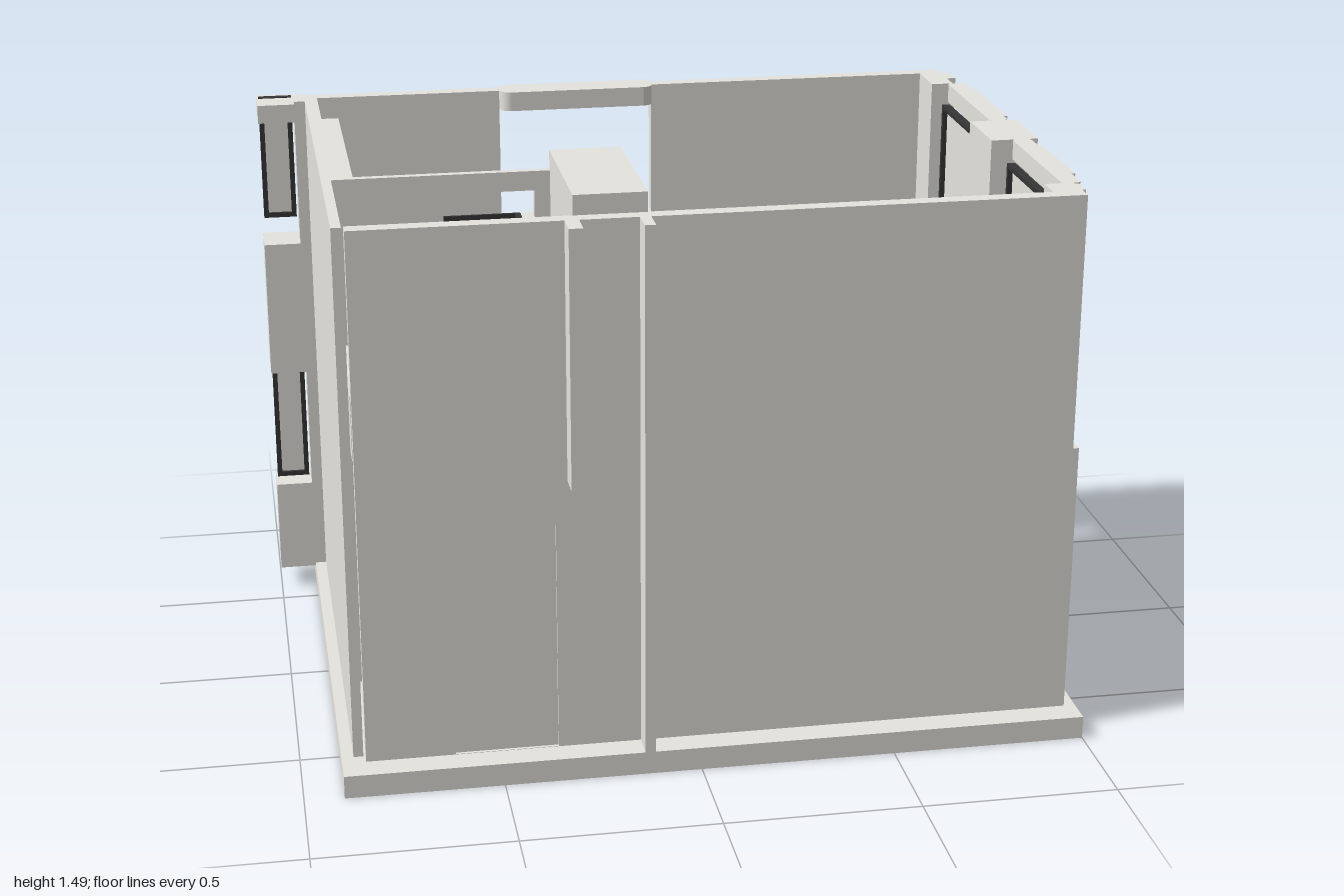
import * as THREE from 'three';
import { RoundedBoxGeometry } from 'three/addons/geometries/RoundedBoxGeometry.js';

export function createModel() {
  const model = new THREE.Group();
  const mat = (name, color) => {
    const m = new THREE.MeshStandardMaterial({ color });
    m.name = name;
    return m;
  };
  const plaster = mat('plaster', 0xe6e4de);
  const dark = mat('darkMetal', 0x363636);
  const blanketMat = mat('blanket', 0xd19f83);
  const leafMat = mat('leaf', 0x1c1c1c);
  leafMat.side = THREE.DoubleSide;

  const add = (name, geo, m = plaster) => {
    const mesh = new THREE.Mesh(geo, m);
    mesh.name = name;
    model.add(mesh);
    return mesh;
  };
  // box given by its limits on each axis
  const box = (name, x0, x1, y0, y1, z0, z1, m = plaster) => {
    const g = new THREE.BoxGeometry(x1 - x0, y1 - y0, z1 - z0);
    g.translate((x0 + x1) / 2, (y0 + y1) / 2, (z0 + z1) / 2);
    return add(name, g, m);
  };
  const soft = (name, x0, x1, y0, y1, z0, z1, r) => {
    const g = new RoundedBoxGeometry(x1 - x0, y1 - y0, z1 - z0, 2, r);
    g.translate((x0 + x1) / 2, (y0 + y1) / 2, (z0 + z1) / 2);
    return add(name, g);
  };
  // flat-topped block whose corners are rounded in plan
  const slab = (name, x0, x1, y0, y1, z0, z1, r) => {
    const s = new THREE.Shape();
    const a = -z1, b = -z0, h = Math.PI / 2;
    s.absarc(x1 - r, b - r, r, 0, h);
    s.absarc(x0 + r, b - r, r, h, 2 * h);
    s.absarc(x0 + r, a + r, r, 2 * h, 3 * h);
    s.absarc(x1 - r, a + r, r, 3 * h, 4 * h);
    const g = new THREE.ExtrudeGeometry(s, { depth: y1 - y0, bevelEnabled: false, curveSegments: 6 });
    return add(name, g.rotateX(-h).translate(0, y0, 0));
  };
  const rect = (P, u0, u1, v0, v1) => {
    const p = new P();
    p.moveTo(u0, v0); p.lineTo(u1, v0); p.lineTo(u1, v1); p.lineTo(u0, v1); p.closePath();
    return p;
  };
  // upright panel with holes, each hole as [u0, u1, v0, v1]
  const panel = (outer, holes, depth) => {
    const s = rect(THREE.Shape, ...outer);
    holes.forEach(h => s.holes.push(rect(THREE.Path, ...h)));
    return new THREE.ExtrudeGeometry(s, { depth, bevelEnabled: false });
  };
  const panelZ = (name, outer, holes, z0, z1, m) =>
    add(name, panel(outer, holes, z1 - z0).translate(0, 0, z0), m);
  const panelX = (name, outer, holes, x0, x1, m) =>
    add(name, panel(outer, holes, x1 - x0).rotateY(-Math.PI / 2).translate(x1, 0, 0), m);

  const F1 = 0.06, F2 = 0.84, SEAM = 0.78, TOP = 1.44;
  const storeys = [[0.32, 0.66], [1.1, 1.39]];

  // ground slab and upper floor around the stairwell
  box('groundSlab', -0.9, 1, 0, F1, -0.72, 0.72);
  box('upperFloor', -0.82, 0.9, SEAM, F2, -0.1, 0.62);
  box('upperLanding', -0.82, -0.31, SEAM, F2, -0.44, -0.1);

  // front wall with ribs and recessed door
  panelZ('frontWall', [-0.84, 0.955, F1, TOP], [[-0.615, -0.355, F1 + 0.001, 0.665]], 0.61, 0.65);
  box('frontDoor', -0.615, -0.355, F1, 0.665, 0.612, 0.642);
  box('shortRib', -0.325, -0.29, SEAM, TOP, 0.65, 0.72);
  box('tallRib', -0.145, -0.118, F1, TOP, 0.65, 0.72);

  // left wall
  box('leftWall', -0.87, -0.79, F1, TOP, -0.4, 0.2);
  box('leftWallBack', -0.87, -0.835, F1, TOP, -0.67, -0.4);
  box('leftWallFront', -0.87, -0.845, F1, TOP, 0.2, 0.62);

  // back wall, thicker below, with a window above and a tall slot
  panelZ('backWall', [-0.87, 0.94, F1, TOP], [[-0.33, 0.1, 1.06, 1.39], [-0.32, -0.26, 0.32, 0.66]], -0.67, -0.63);
  box('backPlinthLeft', -0.87, -0.33, F1, SEAM, -0.72, -0.67);
  box('backPlinthRight', -0.25, 0.15, F1, SEAM, -0.72, -0.67);
  box('backSillPanel', -0.33, 0.1, SEAM, 1.04, -0.7, -0.67);
  slab('backWindowLintel', -0.33, 0.1, 1.39, TOP + 0.003, -0.682, -0.592, 0.03);
  box('backWindowSill', -0.33, 0.1, 1.04, 1.07, -0.68, -0.6);
  panelZ('slotFrame', [-0.32, -0.26, 0.32, 0.66], [[-0.31, -0.27, 0.33, 0.65]], -0.66, -0.645, dark);
  box('slotPane', -0.31, -0.27, 0.33, 0.65, -0.655, -0.65);

  // window column at the back left corner
  box('columnBase', -1, -0.9, F1, 0.32, -0.7, -0.58);
  box('columnMiddle', -1, -0.9, 0.66, 1.04, -0.7, -0.58);
  box('columnCap', -1, -0.9, 1.39, TOP, -0.69, -0.57);
  box('columnReturn', -0.9, -0.865, F1, TOP, -0.68, -0.6);
  storeys.forEach(([a, b]) => {
    panelZ('columnWindowFrame', [-0.995, -0.905, a, b], [[-0.982, -0.918, a + 0.013, b - 0.013]], -0.67, -0.645, dark);
    box('columnWindowPane', -0.985, -0.915, a + 0.01, b - 0.01, -0.66, -0.654);
  });
  box('columnTopTrack', -0.995, -0.905, TOP, TOP + 0.002, -0.67, -0.65, dark);

  // right wall: piers, spandrels, window frames and outer screens
  box('centrePier', 0.87, 0.995, F1, TOP, -0.08, 0.12);
  box('frontPier', 0.88, 0.955, F1, TOP, 0.54, 0.63);
  box('backPier', 0.88, 0.94, F1, TOP, -0.67, -0.5);
  [[0.54, 0.65, 0.55, 0.605], [-0.66, -0.5, -0.62, -0.56]].forEach(([a, b, c, d]) => {
    box('pierLower', 0.935, 0.97, F1, SEAM, a, b);
    box('pierStrip', 0.935, 0.965, SEAM, TOP, c, d);
  });
  [{ hole: [0.12, 0.54], frame: [0.165, 0.5], screen: [0.2, 0.46] },
   { hole: [-0.5, -0.08], frame: [-0.46, -0.12], screen: [-0.42, -0.12] }].forEach(w => {
    [[F1, 0.32], [0.66, 1.04], [1.39, TOP]].forEach(([a, b]) =>
      slab('spandrel', 0.925, 0.975, a, b, ...w.hole, 0.012));
    [[F1, 0.32], [0.66, 1.1]].forEach(([a, b]) => box('innerSpandrel', 0.885, 0.925, a, b, ...w.frame));
    box('outerScreen', 0.95, 0.985, F1, TOP, ...w.screen);
    const [z0, z1] = w.frame;
    storeys.forEach(([a, b]) => {
      panelX('windowFrame', [z0, z1, a, b], [[z0 + 0.012, z1 - 0.012, a + 0.015, b - 0.012]], 0.9, 0.922, dark);
      box('windowPane', 0.913, 0.919, a + 0.014, b - 0.01, z0 + 0.01, z1 - 0.01);
    });
  });

  // staircase with straight flight and corner landing
  const riser = (F2 - F1) / 15;
  const run = 0.07;
  const flight = new THREE.Shape();
  flight.moveTo(0.33, F1);
  for (let i = 0; i < 13; i++) {
    flight.lineTo(0.33 - i * run, F1 + (i + 1) * riser);
    flight.lineTo(0.33 - (i + 1) * run, F1 + (i + 1) * riser);
  }
  flight.lineTo(-0.58, F1 + 11 * riser);
  flight.lineTo(0.2, F1);
  flight.closePath();
  add('stairFlight', new THREE.ExtrudeGeometry(flight, { depth: 0.19, bevelEnabled: false }).translate(0, 0, -0.63));
  const winder = (name, pts, y) => {
    const s = new THREE.Shape(pts.map(p => new THREE.Vector2(p[0], -p[1])));
    add(name, new THREE.ExtrudeGeometry(s, { depth: riser, bevelEnabled: false })
      .rotateX(-Math.PI / 2).translate(0, y - riser, 0));
  };
  winder('lowerWinder', [[-0.58, -0.44], [-0.58, -0.63], [-0.77, -0.63]], F1 + 14 * riser);
  winder('upperWinder', [[-0.58, -0.44], [-0.77, -0.63], [-0.84, -0.63], [-0.84, -0.44]], F2);

  // stairwell railing
  box('longRail', -0.315, 0.9, 1.125, 1.14, -0.113, -0.097, dark);
  box('shortRail', -0.315, -0.299, 1.125, 1.14, -0.44, -0.097, dark);
  box('longRailPanel', -0.31, 0.89, F2, 1.125, -0.108, -0.102);
  box('shortRailPanel', -0.31, -0.304, F2, 1.125, -0.435, -0.108);
  box('landingRail', -0.58, -0.3, 1.125, 1.14, -0.444, -0.436, dark);

  // bathroom and tall shaft
  panelZ('bathroomWall', [-0.845, -0.3, F2, TOP], [[-0.57, -0.34, F2 + 0.002, 1.39]], 0.19, 0.21);
  box('shaft', -0.3, -0.12, F1, 1.49, 0.2, 0.612);
  box('bathtub', -0.84, -0.66, F2, F2 + 0.17, 0.22, 0.59);
  add('toiletBowl', new THREE.CylinderGeometry(0.05, 0.035, 0.12, 24).translate(-0.57, F2 + 0.06, 0.47));
  box('toiletTank', -0.615, -0.53, F2, F2 + 0.22, 0.535, 0.575);
  box('washstand', -0.47, -0.35, F2, F2 + 0.25, 0.465, 0.6);

  // bed and night tables
  box('bed', 0.05, 0.5, F2, 1.0, 0.05, 0.605);
  box('duvet', 0.05, 0.5, 1.0, 1.02, 0.05, 0.475);
  box('blanket', 0.047, 0.503, 0.95, 1.028, 0.045, 0.17, blanketMat);
  [[0.075, 0.255], [0.295, 0.475]].forEach(([a, b]) => soft('pillow', a, b, 0.99, 1.055, 0.488, 0.595, 0.008));
  [[-0.08, 0.05], [0.505, 0.635]].forEach(([a, b]) => box('nightTable', a, b, F2, 1.0, 0.5, 0.605));

  // ground floor objects
  add('floorPost', new THREE.CylinderGeometry(0.016, 0.016, 0.2, 16).translate(0.29, F1 + 0.1, -0.38));
  box('cushion', 0.5, 0.7, 0.5, 0.55, 0.125, 0.155, blanketMat);
  box('chair', 0.5, 0.7, F1, 0.5, 0.13, 0.3);

  // potted plant made of scattered leaves
  add('plantPot', new THREE.CylinderGeometry(0.05, 0.035, 0.47, 16).translate(0.83, F1 + 0.235, -0.55));
  let seed = 7;
  const rnd = () => (seed = (seed * 16807) % 2147483647) / 2147483647;
  const plant = new THREE.Group();
  plant.name = 'plant';
  const leaf = new THREE.CircleGeometry(0.016, 5);
  for (let i = 0; i < 150; i++) {
    const m = new THREE.Mesh(leaf, leafMat);
    m.name = 'leaf';
    const a = rnd() * Math.PI * 2, r = 0.066 * Math.sqrt(rnd());
    m.position.set(0.835 + r * Math.cos(a), 0.54 + 0.13 * rnd(), -0.55 + r * Math.sin(a));
    m.rotation.set(rnd() * 6, rnd() * 6, 0);
    plant.add(m);
  }
  model.add(plant);

  return model;
}
